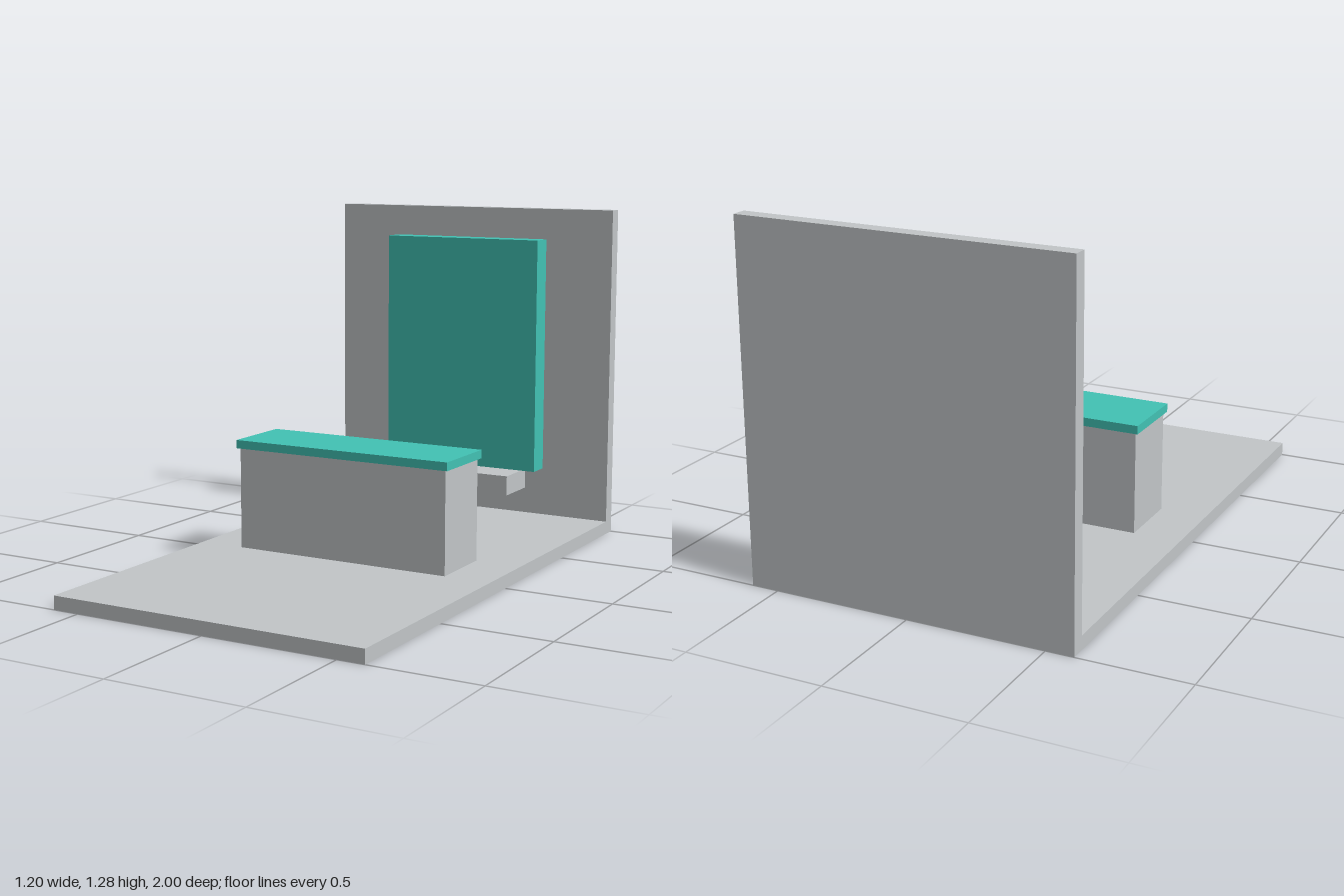
import * as THREE from 'three';

export function createModel() {
  const model = new THREE.Group();
  model.name = 'wallPanelWithBench';

  const grey = new THREE.MeshStandardMaterial({ color: 0xc2c6c8 });
  grey.name = 'light grey';
  const teal = new THREE.MeshStandardMaterial({ color: 0x42c2b4 });
  teal.name = 'teal';

  // Box centred on x, given its width and its y and z ranges
  function slab(name, material, width, [y0, y1], [z0, z1]) {
    const mesh = new THREE.Mesh(new THREE.BoxGeometry(width, y1 - y0, z1 - z0), material);
    mesh.position.set(0, (y0 + y1) / 2, (z0 + z1) / 2);
    mesh.name = name;
    model.add(mesh);
  }

  // Floor and back wall
  slab('floor', grey, 1.2, [0, 0.05], [-1, 1]);
  slab('backWall', grey, 1.2, [0.05, 1.283], [-1, -0.945]);

  // Bench with an overhanging top
  slab('benchBase', grey, 0.85, [0.05, 0.427], [-0.127, 0.127]);
  slab('benchTop', teal, 0.872, [0.427, 0.458], [-0.137, 0.137]);

  // Panel in front of the wall, with a ledge below it
  slab('panel', teal, 0.662, [0.243, 1.164], [-0.926, -0.84]);
  slab('ledge', grey, 0.536, [0.163, 0.24], [-0.896, -0.72]);

  return model;
}
